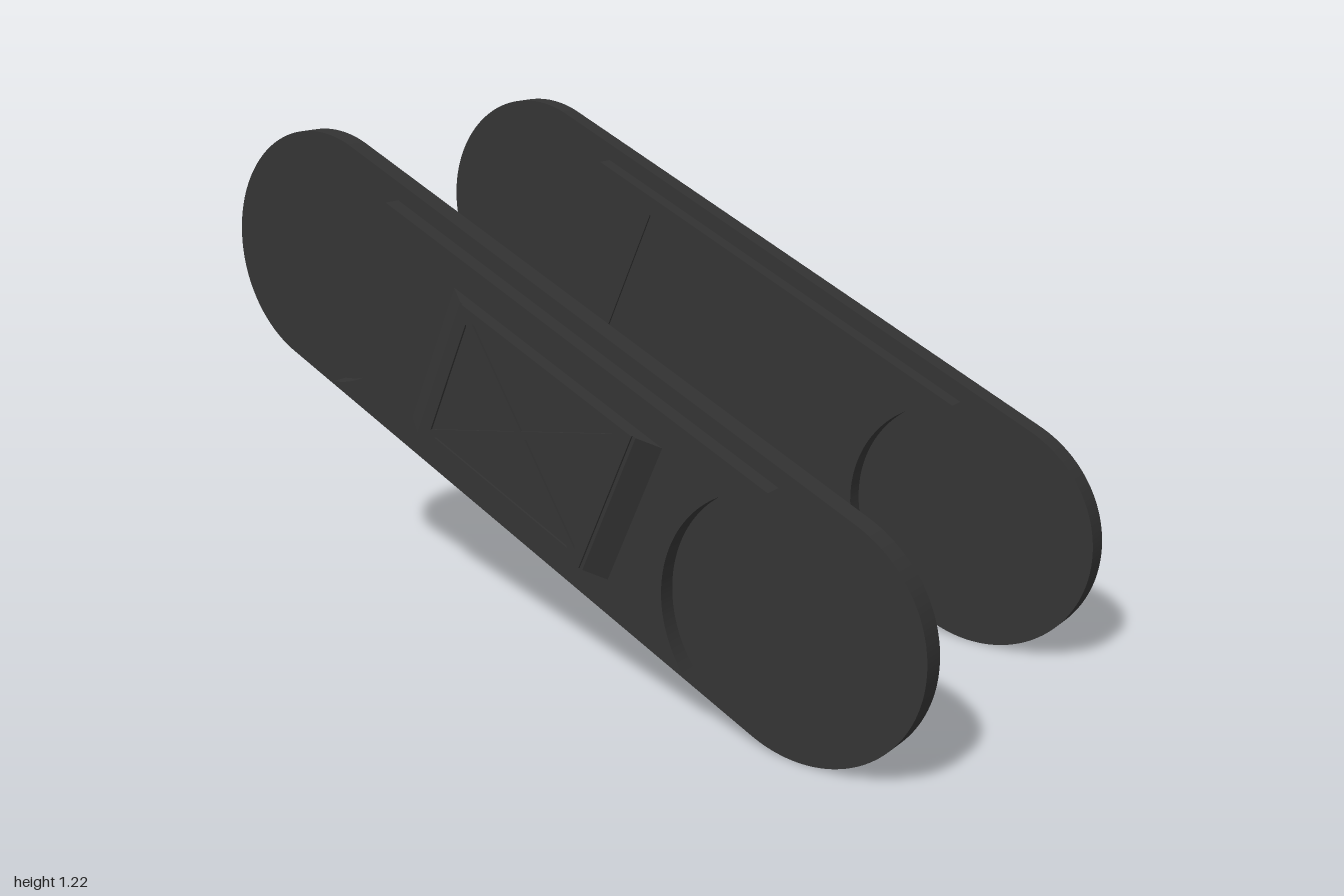
import * as THREE from 'three';

const TILT = Math.atan2(0.635, 1.41);
const material = new THREE.MeshStandardMaterial({ color: 0x333333 });

function extrude(name, shape, z0, z1) {
  const geo = new THREE.ExtrudeGeometry(shape, { depth: z1 - z0, bevelEnabled: false, curveSegments: 40 });
  geo.translate(0, 0, z0);
  const mesh = new THREE.Mesh(geo, material);
  mesh.name = name;
  return mesh;
}

const polygon = (pts, Kind = THREE.Shape) => new Kind(pts.map(([x, y]) => new THREE.Vector2(x, y)));
const rect = (a, b) => [[-a, -b], [a, -b], [a, b], [-a, b]];

// Long plate with full round ends
function capsuleShape(half, r) {
  const s = new THREE.Shape();
  s.absarc(half, 0, r, -Math.PI / 2, Math.PI / 2, false);
  s.absarc(-half, 0, r, Math.PI / 2, Math.PI * 1.5, false);
  s.closePath();
  return s;
}

// Middle block whose ends are hollowed by arcs
function waistShape() {
  const L = 0.588, W = 0.255, c = 0.72, r = Math.hypot(W, c - L);
  const phi = Math.atan2(W, L - c);
  const s = new THREE.Shape();
  s.moveTo(-L, -W);
  s.lineTo(L, -W);
  s.absarc(c, 0, r, -phi, phi, true);
  s.lineTo(-L, W);
  s.absarc(-c, 0, r, Math.PI - phi, phi - Math.PI, true);
  return s;
}

// One side link, outer face toward +z
function createLink() {
  const link = new THREE.Group();
  link.add(extrude('endPlate', capsuleShape(0.773, 0.295), -0.026, 0.026));

  // Middle block with a shallow pocket on the inner face
  link.add(extrude('middleBlock', waistShape(), -0.0615, 0.0665));
  const innerRim = waistShape();
  innerRim.holes.push(polygon(rect(0.385, 0.21), THREE.Path));
  link.add(extrude('innerPocketRim', innerRim, -0.0665, -0.0615));

  // Raised pad with sloping ends, profile extruded across the width
  const top = 0.1025, floor = 0.0975, halfTop = 0.265, halfBase = 0.325, halfWidth = 0.184;
  const slope = halfTop + (halfBase - halfTop) * (top - floor) / (top - 0.0665);
  const profile = polygon([[-halfBase, -0.0665], [halfBase, -0.0665], [slope, -floor], [-slope, -floor]].reverse());
  const pad = extrude('outerPad', profile, -halfWidth, halfWidth);
  pad.geometry.rotateX(-Math.PI / 2);
  pad.geometry.scale(1, 1, 1);
  link.add(pad);

  // Cross brace left between four shallow triangular pockets
  const brace = polygon(rect(halfTop, halfWidth));
  const corners = rect(0.245, 0.165);
  corners.forEach((p, i) => {
    const tri = [p, corners[(i + 1) % 4], [0, 0]];
    const mid = [0, 1].map(k => (tri[0][k] + tri[1][k]) / 3);
    brace.holes.push(polygon(tri.map(q => q.map((v, k) => mid[k] + (v - mid[k]) * 0.9)), THREE.Path));
  });
  link.add(extrude('crossBrace', brace, floor, top));
  return link;
}

export function createModel() {
  const model = new THREE.Group();
  model.name = 'linkPair';
  for (const side of [1, -1]) {
    const link = createLink();
    link.name = side > 0 ? 'frontLink' : 'backLink';
    link.rotation.z = -side * TILT;
    const holder = new THREE.Group();
    holder.name = link.name + 'Holder';
    holder.add(link);
    holder.rotation.y = side > 0 ? 0 : Math.PI;
    holder.position.set(0, 0.6125, side * 0.3935);
    model.add(holder);
  }
  return model;
}
